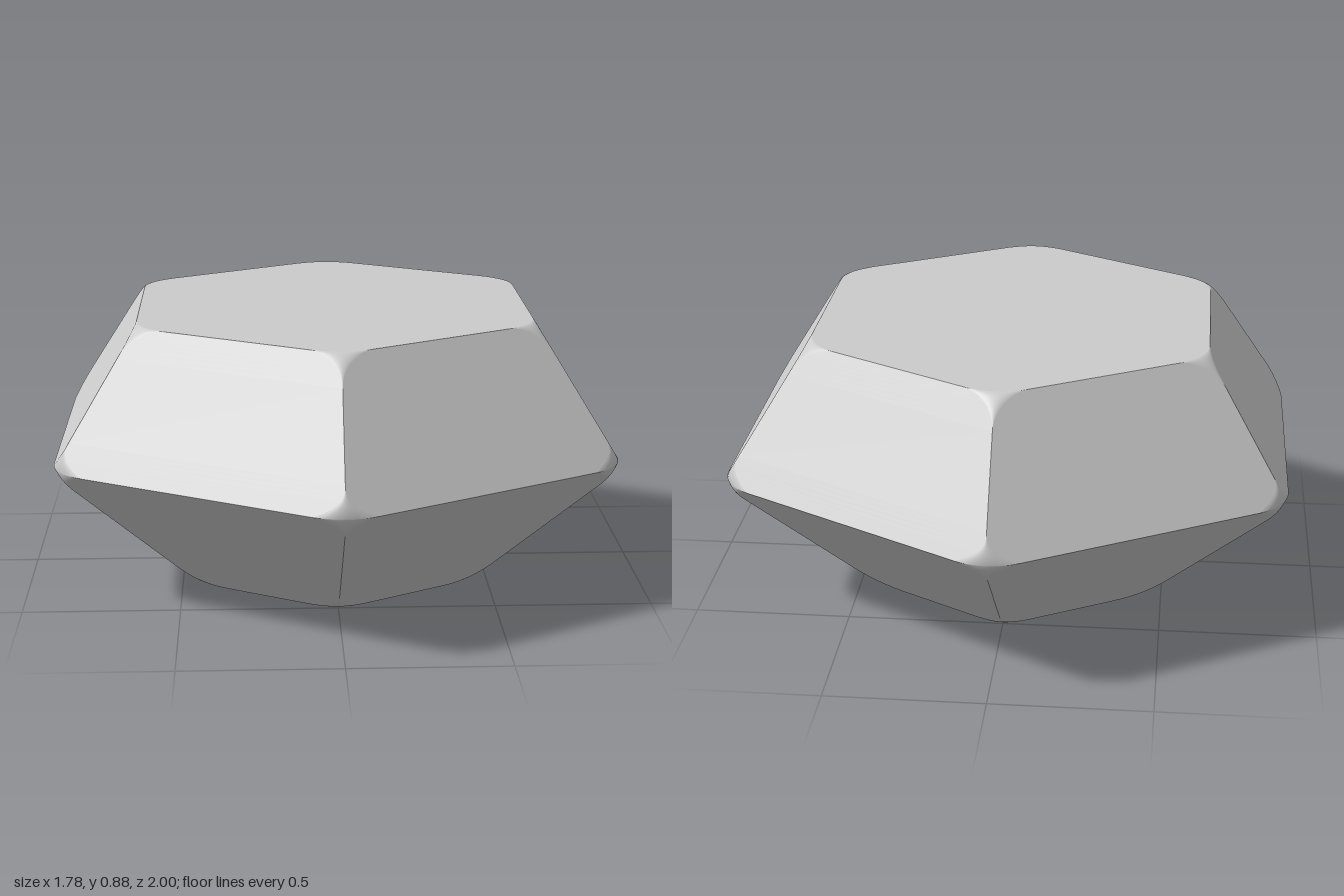
import * as THREE from 'three';
import { mergeGeometries } from 'three/addons/utils/BufferGeometryUtils.js';

const SIDES = 6, ARC = 10, ROWS = 10, ROUND = 0.11;
// Sharp hexagon radius and height of the three rings
const TOP = { r: 0.727, y: 0.885 };
const GIRDLE = { r: 1.029, y: 0.46 };
const BOTTOM = { r: 0.514, y: 0 };

// Indexed grid from rows (top to bottom) of points (left to right)
function grid(rows) {
  const n = rows[0].length, index = [];
  for (let i = 0; i < rows.length - 1; i++) {
    for (let j = 0; j < n - 1; j++) {
      const a = i * n + j, b = a + n;
      index.push(a, b, a + 1, a + 1, b, b + 1);
    }
  }
  const g = new THREE.BufferGeometry();
  g.setAttribute('position', new THREE.Float32BufferAttribute(rows.flat(2), 3));
  g.setIndex(index);
  g.computeVertexNormals();
  return g;
}

// Point on the corner arc of one level; u runs from -1 to 1 across the corner
function cornerPoint(level, k, u) {
  const a = k * Math.PI / 3, b = a + u * Math.PI / 6;
  const centre = level.r - 2 * level.d, radius = level.d * Math.sqrt(3);
  return [
    centre * Math.sin(a) + radius * Math.sin(b),
    level.y,
    centre * Math.cos(a) + radius * Math.cos(b),
  ];
}

// Levels of the rounding that fades away from one ring towards another
function fade(from, to, rounding) {
  const span = ROUND / Math.hypot(to.r - from.r, to.y - from.y);
  return Array.from({ length: ROWS + 1 }, (_, i) => {
    const s = 1 - Math.cos(i / ROWS * Math.PI / 2), t = s * span;
    return {
      r: from.r + (to.r - from.r) * t,
      y: from.y + (to.y - from.y) * t,
      d: ROUND * rounding(s),
    };
  });
}

// Flat table or base, as a fan
function cap(level, up) {
  const pos = [0, level.y, 0], index = [];
  for (let k = 0; k < SIDES; k++) {
    for (let j = 0; j <= ARC; j++) pos.push(...cornerPoint(level, k, j / ARC * 2 - 1));
  }
  const n = SIDES * (ARC + 1);
  for (let i = 0; i < n; i++) {
    const a = i + 1, b = (i + 1) % n + 1;
    index.push(0, up ? a : b, up ? b : a);
  }
  const g = new THREE.BufferGeometry();
  g.setAttribute('position', new THREE.Float32BufferAttribute(pos, 3));
  g.setIndex(index);
  g.computeVertexNormals();
  return g;
}

export function createModel() {
  const group = new THREE.Group();
  const material = new THREE.MeshStandardMaterial({ color: 0xcccccc });
  const add = (name, geometry) => {
    const mesh = new THREE.Mesh(geometry, material);
    mesh.name = name;
    group.add(mesh);
  };

  const flatEnd = s => 1 - Math.sqrt(Math.max(0, 1 - (1 - s) ** 2));
  const belt = s => (1 - s) ** 2.3;
  const top = fade(TOP, GIRDLE, flatEnd);
  const beltUp = fade(GIRDLE, TOP, belt).reverse();
  const beltDown = fade(GIRDLE, BOTTOM, belt);
  const bottom = fade(BOTTOM, GIRDLE, flatEnd).reverse();

  const crown = [], pavilion = [], corners = [];
  // Flat facet between two neighbouring corners
  const facet = (levels, k) =>
    grid(levels.map(l => [cornerPoint(l, k, 1), cornerPoint(l, k + 1, -1)]));
  // Smooth patch over one corner
  const patch = (levels, k) => grid(levels.map(l =>
    Array.from({ length: ARC + 1 }, (_, j) => cornerPoint(l, k, j / ARC * 2 - 1))));

  for (let k = 0; k < SIDES; k++) {
    crown.push(facet([...top, ...beltUp], k));
    pavilion.push(facet([...beltDown, ...bottom], k));
    corners.push(
      patch(top, k),
      patch([...beltUp, ...beltDown.slice(1)], k),
      patch(bottom, k),
    );
  }

  add('tableFacet', cap(top[0], true));
  add('crownFacets', mergeGeometries(crown));
  add('pavilionFacets', mergeGeometries(pavilion));
  add('baseFacet', cap(bottom[ROWS], false));
  add('roundedCorners', mergeGeometries(corners));
  return group;
}
